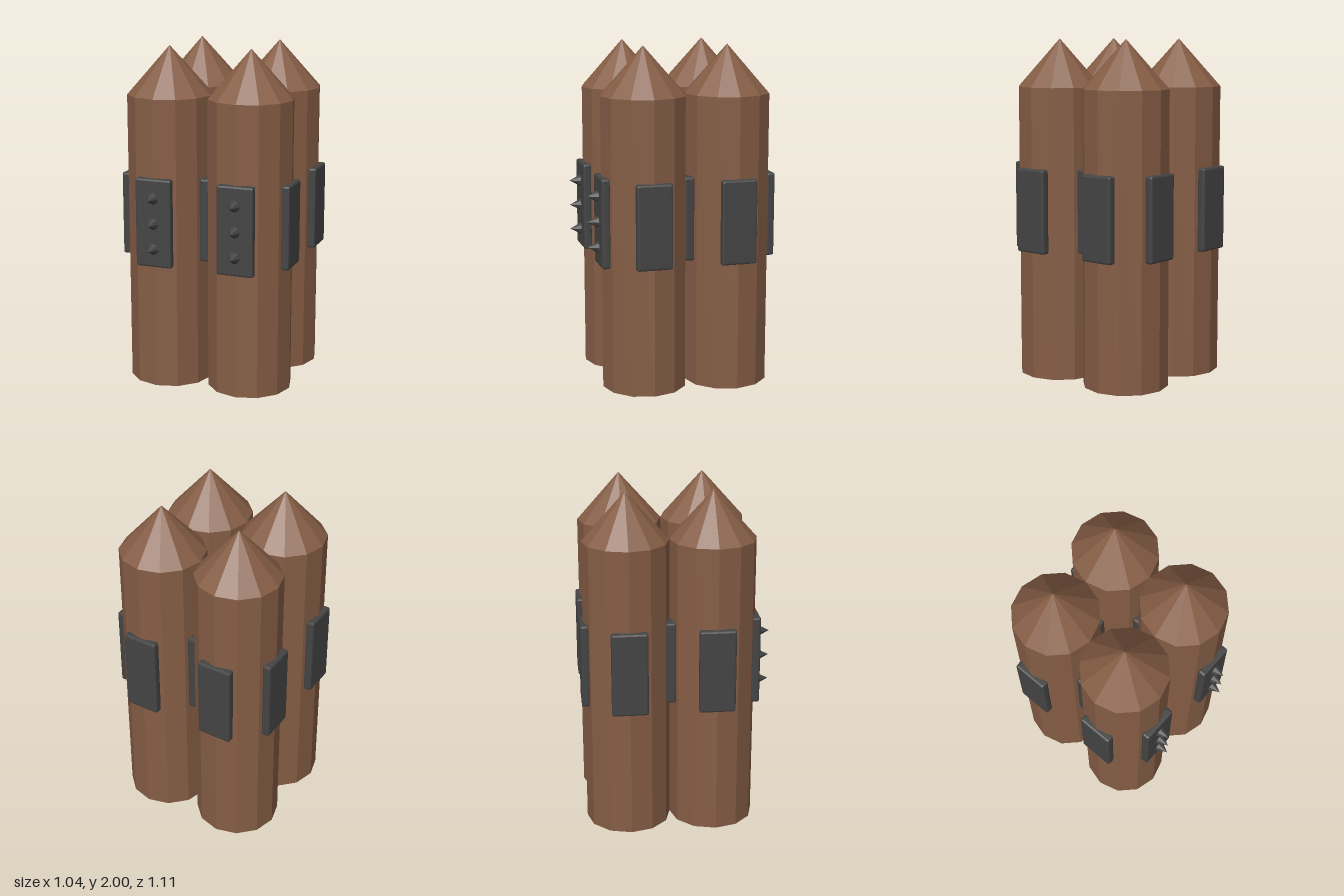
import * as THREE from 'three';
import { RoundedBoxGeometry } from 'three/addons/geometries/RoundedBoxGeometry.js';

export function createModel() {
  const wood = new THREE.MeshStandardMaterial({ color: 0x855d45, flatShading: true });
  wood.name = 'brown wood';
  const iron = new THREE.MeshStandardMaterial({ color: 0x444444, flatShading: true });
  iron.name = 'dark iron';

  const model = new THREE.Group();
  model.name = 'palisade';
  const Z0 = -0.035; // middle of the log cluster
  const R = 0.25;

  const add = (parent, name, geometry, material, x, y, z) => {
    const mesh = new THREE.Mesh(geometry, material);
    mesh.name = name;
    mesh.position.set(x, y, z);
    parent.add(mesh);
    return mesh;
  };

  // Log outline: trunk and sharpened tip, twelve sides
  const logGeometry = new THREE.LatheGeometry(
    [[0, 0], [R, 0], [R, 1.72], [0, 2]].map(([x, y]) => new THREE.Vector2(x, y)), 12);
  const plateGeometry = new RoundedBoxGeometry(0.21, 0.495, 0.05, 1, 0.012);
  const frontPlateGeometry = new RoundedBoxGeometry(0.22, 0.525, 0.05, 1, 0.012);
  const spikeGeometry = new THREE.ConeGeometry(0.037, 0.07, 8);

  for (const sx of [-1, 1]) {
    for (const sz of [-1, 1]) {
      const log = new THREE.Group();
      log.name = `${sz > 0 ? 'front' : 'back'}${sx > 0 ? 'Left' : 'Right'}Log`;
      log.position.set(sx * 0.25, 0, Z0 + sz * 0.25);
      model.add(log);
      add(log, 'logTrunk', logGeometry, wood, 0, 0, 0);

      // Iron plates on the four sides, the outer front one larger and spiked
      for (let i = 0; i < 4; i++) {
        const a = i * Math.PI / 2;
        const spiked = i === 0 && sz > 0;
        const plate = add(log, spiked ? 'spikedPlate' : 'plate',
          spiked ? frontPlateGeometry : plateGeometry, iron,
          Math.sin(a) * 0.245, 1.003, Math.cos(a) * 0.245);
        plate.rotation.y = a;
      }
      if (sz > 0) {
        for (const y of [0.85, 1, 1.15]) {
          add(log, 'spike', spikeGeometry, iron, 0, y, 0.3).rotation.x = Math.PI / 2;
        }
      }
    }
  }

  // Cross braces in the middle with an upright spike
  add(model, 'braceAcross', new THREE.BoxGeometry(0.5, 0.06, 0.055), iron, 0, 1, Z0);
  add(model, 'braceDeep', new THREE.BoxGeometry(0.055, 0.06, 0.5), iron, 0, 1, Z0);
  add(model, 'centreSpike', new THREE.ConeGeometry(0.045, 0.09, 8), iron, 0, 1.07, Z0);

  return model;
}
